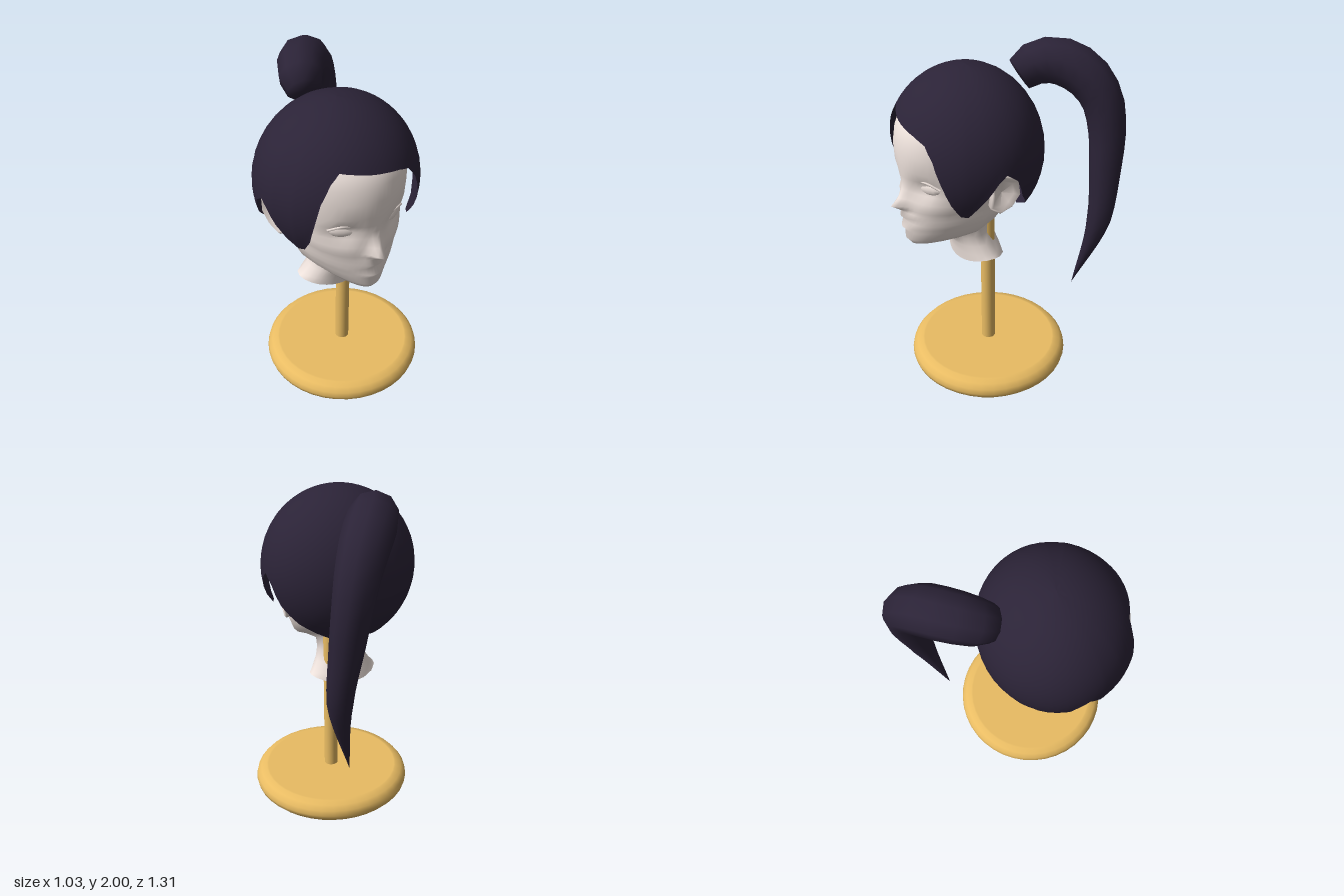
import * as THREE from 'three';

const CX = -0.06; // middle plane of the head
const rad = THREE.MathUtils.degToRad;
const lerp = THREE.MathUtils.lerp;

const skin = new THREE.MeshStandardMaterial({ color: 0xeee2dc, side: THREE.DoubleSide });
const hairMat = new THREE.MeshStandardMaterial({ color: 0x2b2337, side: THREE.DoubleSide });
const wood = new THREE.MeshStandardMaterial({ color: 0xe9bc63 });

function add(parent, name, geometry, material) {
  const mesh = new THREE.Mesh(geometry, material);
  mesh.name = name;
  parent.add(mesh);
  return mesh;
}

// Skin over closed rings that all have the same number of points
function loft(rings) {
  const n = rings[0].length, index = [];
  for (let i = 0; i < rings.length - 1; i++) {
    for (let j = 0; j < n; j++) {
      const a = i * n + j, b = i * n + (j + 1) % n;
      index.push(a, b, b + n, a, b + n, a + n);
    }
  }
  const g = new THREE.BufferGeometry().setFromPoints(rings.flat());
  g.setIndex(index);
  g.computeVertexNormals();
  return g;
}

// Soft local push used to model the face: [height, x, y, width, tallness]
const features = [
  [0.078, 0, 1.2, 0.034, 0.035],    // nose tip
  [0.02, 0, 1.26, 0.035, 0.05],     // nose bridge
  [0.012, 0.045, 1.19, 0.02, 0.02], // nostrils
  [-0.04, 0.15, 1.335, 0.075, 0.05], // eye sockets
  [0.022, 0, 1.05, 0.065, 0.022],   // lower lip
  [-0.012, 0, 1.083, 0.08, 0.012],  // mouth line
  [0.026, 0, 1.12, 0.065, 0.022],   // upper lip
  [0.01, 0, 0.97, 0.06, 0.03],      // chin
];
const bump = (x, y) => features.reduce((s, [h, fx, fy, w, t]) =>
  s + h * Math.exp(-(((Math.abs(x) - fx) / w) ** 2) - ((y - fy) / t) ** 2), 0);

// Neck and head, rings of [front y, back y, half width, front z, back z]
function headGeometry() {
  const half = [0, 4, 8, 12, 17, 22, 28, 35, 43, 55, 72, 90, 110, 135, 158];
  const angles = [...half, 180, ...half.slice(1).reverse().map(a => 360 - a)].map(rad);
  const levels = [
    [0.75, 0.75, 0.215, 0.265, -0.01], [0.81, 0.81, 0.195, 0.27, 0.005],
    [0.86, 0.87, 0.16, 0.28, 0.025], [0.91, 0.94, 0.137, 0.3, 0.035],
    [0.95, 1.05, 0.145, 0.36, 0.02], [0.935, 1.1, 0.19, 0.49, -0.01],
    [0.935, 1.13, 0.235, 0.545, -0.04], [0.97, 1.15, 0.262, 0.565, -0.06],
    [1.02, 1.18, 0.28, 0.568, -0.08], [1.05, 1.2, 0.29, 0.572, -0.09],
    [1.083, 1.21, 0.296, 0.575, -0.1], [1.12, 1.23, 0.3, 0.572, -0.11],
    [1.15, 1.25, 0.303, 0.572, -0.12], [1.175, 1.26, 0.306, 0.572, -0.13],
    [1.2, 1.28, 0.31, 0.574, -0.13], [1.24, 1.3, 0.315, 0.572, -0.14],
    [1.29, 1.33, 0.32, 0.57, -0.15], [1.33, 1.36, 0.325, 0.575, -0.16],
    [1.37, 1.38, 0.33, 0.58, -0.16], [1.43, 1.43, 0.337, 0.586, -0.17],
    [1.52, 1.52, 0.345, 0.588, -0.17], [1.6, 1.6, 0.345, 0.572, -0.15],
    [1.66, 1.66, 0.335, 0.545, -0.12], [1.72, 1.72, 0.3, 0.49, -0.07],
    [1.8, 1.8, 0.22, 0.39, 0.02], [1.85, 1.85, 0, 0.2, 0.2],
  ];
  return loft(levels.map(([yf, yb, w, zf, zb]) => angles.map(a => {
    const c = Math.cos(a), s = Math.sin(a);
    // the jaw narrows to the chin, and the neck opening arches up at the sides
    const taper = yf > 0.93 ? 0.42 * THREE.MathUtils.clamp((1.22 - yf) / 0.28, 0, 1) : 0;
    const x = w * s * (1 - taper * Math.max(0, c));
    const y = lerp(yb, yf, (1 + c) / 2) + (yf < 0.76 ? 0.04 * s * s : 0);
    const z = (zf + zb) / 2 + c * (zf - zb) / 2;
    return new THREE.Vector3(CX + x, y, z + (c > 0.3 && yf > 0.92 ? bump(x, y) : 0));
  })));
}

// Hair cap: part of an ellipsoid cut by a hem given as [angle from front, y]
function hairGeometry() {
  const side = [[60, 1.21], [74, 1.35], [81, 1.43], [87, 1.47], [96, 1.42], [104, 1.3],
    [117, 1.2], [132, 1.14], [146, 1.09], [163, 1.085]];
  const hem = [[-28, 1.7], [-18, 1.69], [-6, 1.675], [8, 1.66], [19, 1.645], [29, 1.62], [36, 1.55],
    [42, 1.43], [48, 1.3], [54, 1.215], ...side, [180, 1.1],
    ...side.map(([a, y]) => [360 - a, y]).reverse(), [306, 1.22], [312, 1.3], [316, 1.42],
    [320, 1.55], [326, 1.65]];
  const cols = hem.flatMap(([a, y], i) => {
    const [b, v] = i + 1 < hem.length ? hem[i + 1] : [332, 1.7];
    return [[a, y], [(a + b) / 2, (y + v) / 2]];
  });
  const rings = [], steps = 14;
  for (let i = 0; i <= steps; i++) {
    rings.push(cols.map(([deg, y]) => {
      const a = rad(deg), p = Math.acos((y - 1.45) / 0.47) * (1 - i / steps);
      const rz = Math.cos(a) > 0 ? 0.445 : 0.415;
      return new THREE.Vector3(CX + 0.458 * Math.sin(p) * Math.sin(a),
        1.45 + 0.47 * Math.cos(p), 0.17 + rz * Math.sin(p) * Math.cos(a));
    }));
  }
  return loft(rings);
}

// Ponytail: tapering tube along a curve, stations of [x, y, z, radius]
function ponytailGeometry() {
  const s = [[-0.055, 1.8, -0.165, 0.1], [-0.035, 1.85, -0.245, 0.125], [0.03, 1.87, -0.35, 0.135],
    [0.135, 1.81, -0.46, 0.135], [0.22, 1.68, -0.53, 0.12], [0.265, 1.5, -0.55, 0.107],
    [0.29, 1.28, -0.537, 0.094], [0.31, 0.93, -0.5, 0.07], [0.2, 0.45, -0.41, 0]];
  const curve = new THREE.CatmullRomCurve3(s.map(p => new THREE.Vector3(p[0], p[1], p[2])));
  const n = 21, frames = curve.computeFrenetFrames(n);
  const rings = [];
  for (let i = 0; i <= n; i++) {
    const u = curve.getUtoTmapping(i / n) * (s.length - 1);
    const k = Math.min(Math.floor(u), s.length - 2);
    const r = lerp(s[k][3], s[k + 1][3], u - k), c = curve.getPointAt(i / n);
    rings.push(Array.from({ length: 10 }, (_, j) => {
      const a = j / 10 * Math.PI * 2;
      return c.clone().addScaledVector(frames.normals[i], r * Math.cos(a))
        .addScaledVector(frames.binormals[i], r * Math.sin(a));
    }));
  }
  rings.unshift(rings[0].map(() => curve.getPointAt(0))); // closed root
  return loft(rings);
}

// Ear: outline of [z, y] swept outward, then dished in
function earGeometry() {
  const outline = [[0.02, 0.13], [0.075, 0.09], [0.06, 0], [0.065, -0.09], [0.01, -0.13],
    [-0.05, -0.09], [-0.085, -0.01], [-0.065, 0.09]];
  const layers = [[0.27, 0.7], [0.335, 0.9], [0.375, 1], [0.385, 0.88], [0.365, 0.65], [0.345, 0]];
  return loft(layers.map(([x, k]) => outline.map(([z, y]) =>
    new THREE.Vector3(x + k * (0.18 * y - 0.3 * z), 1.31 + y * k, 0.16 + z * k))));
}

export function createModel() {
  const model = new THREE.Group();
  model.name = 'headOnStand';

  // Stand
  const stand = new THREE.Group();
  stand.name = 'stand';
  stand.position.set(0.037, 0, 0.103);
  model.add(stand);
  const profile = [[0, 0], [0.39, 0], [0.4, 0.001], [0.445, 0.015], [0.473, 0.045], [0.48, 0.07],
    [0.473, 0.1], [0.45, 0.127], [0.415, 0.139], [0.405, 0.14], [0, 0.14]];
  add(stand, 'base', new THREE.LatheGeometry(profile.map(p => new THREE.Vector2(...p)), 40), wood);
  add(stand, 'pole', new THREE.CylinderGeometry(0.042, 0.042, 0.91, 16), wood).position.y = 0.585;

  // Head
  add(model, 'head', headGeometry(), skin);
  for (const side of [1, -1]) {
    const half = new THREE.Group();
    half.name = side > 0 ? 'leftFeatures' : 'rightFeatures';
    half.position.x = CX;
    half.scale.x = side;
    model.add(half);
    add(half, 'ear', earGeometry(), skin);
    // Almond eye with an upper lid line
    const eye = add(half, 'eye', new THREE.SphereGeometry(1, 12, 8), skin);
    eye.scale.set(0.08, 0.04, 0.026);
    eye.position.set(0.148, 1.333, 0.485);
    eye.rotation.set(0, 0.4, 0.12);
    const lid = new THREE.CatmullRomCurve3([[0.072, 1.315, 0.517], [0.12, 1.37, 0.525],
      [0.17, 1.378, 0.51], [0.228, 1.35, 0.465]].map(p => new THREE.Vector3(...p)));
    add(half, 'eyelid', new THREE.TubeGeometry(lid, 10, 0.007, 6), skin);
  }

  // Hair
  add(model, 'hairCap', hairGeometry(), hairMat);
  add(model, 'ponytail', ponytailGeometry(), hairMat);
  return model;
}
